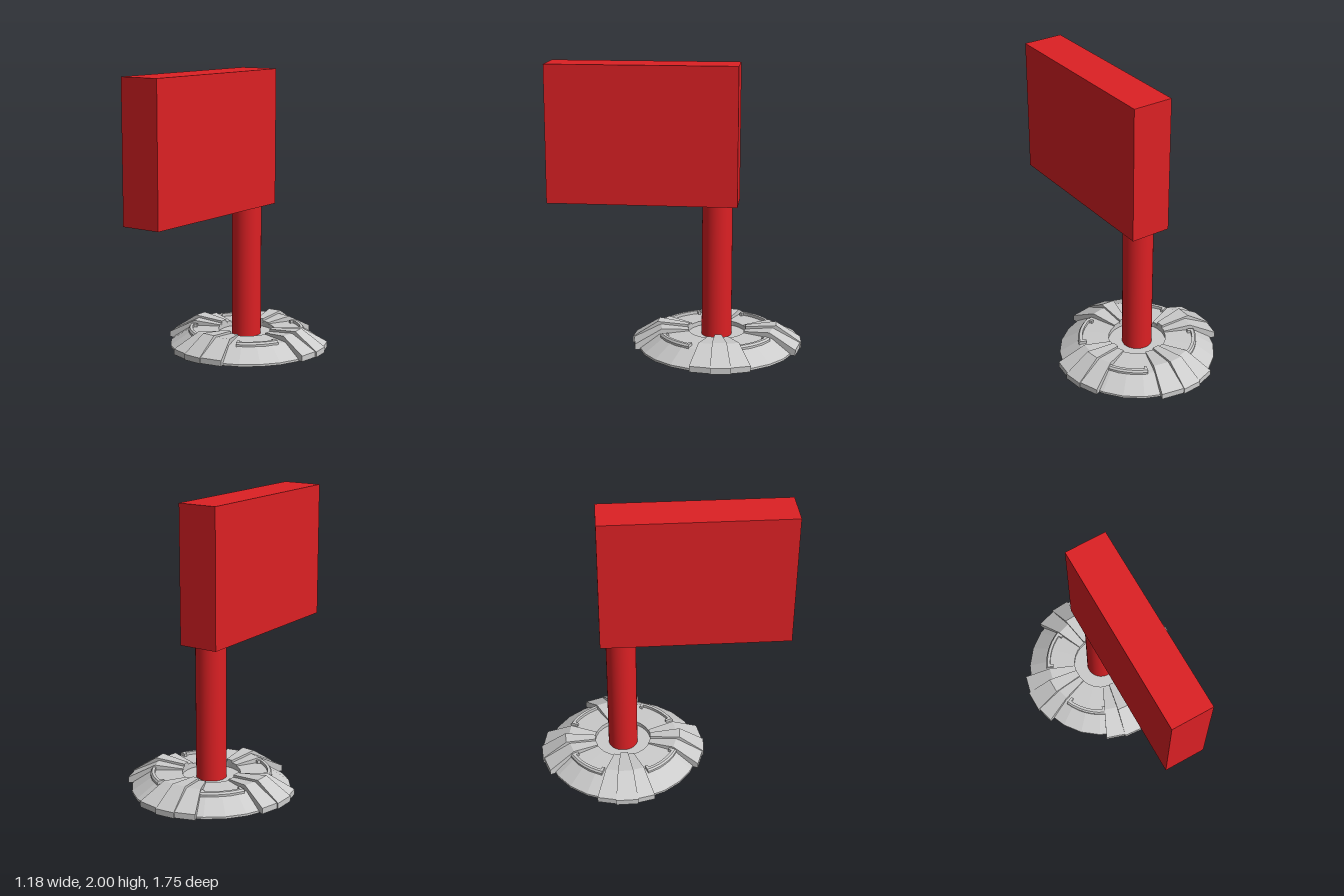
import * as THREE from 'three';

const grey = new THREE.MeshStandardMaterial({ color: 0xcccccc, flatShading: true });
const red = new THREE.MeshStandardMaterial({ color: 0xdd2024 });
const rad = THREE.MathUtils.degToRad;

// Sweeps a closed (radius, height) profile around y from angle a0 to a1 (degrees from +z towards +x)
function sector(profile, a0, a1, steps = 1) {
  const shape = new THREE.Shape(profile.map(([r, y]) => new THREE.Vector2(r, y)));
  const geo = new THREE.ExtrudeGeometry(shape, { depth: 1, steps, bevelEnabled: false });
  const pos = geo.attributes.position;
  for (let i = 0; i < pos.count; i++) {
    const r = pos.getX(i);
    const a = rad(a0 + (a1 - a0) * (1 - pos.getZ(i)));
    pos.setXYZ(i, r * Math.sin(a), pos.getY(i), r * Math.cos(a));
  }
  geo.computeVertexNormals();
  return geo;
}

function add(parent, name, geo, mat, x = 0, y = 0, z = 0) {
  const mesh = new THREE.Mesh(geo, mat);
  mesh.name = name;
  mesh.position.set(x, y, z);
  parent.add(mesh);
  return mesh;
}

function createBase() {
  const base = new THREE.Group();
  base.name = 'base';

  // Sloped disc with a recess underneath and an opening in the middle
  const disc = [[0.2, 0.09], [0.3, 0.09], [0.3, 0.005], [0.31, 0], [0.545, 0.035],
    [0.545, 0.05], [0.41, 0.14], [0.2, 0.15], [0.2, 0.09]];
  add(base, 'disc', new THREE.LatheGeometry(disc.map(([r, y]) => new THREE.Vector2(r, y)), 24), grey);

  // Sunken floor around the pole
  const floor = new THREE.RingGeometry(0.09, 0.205, 24).rotateX(-Math.PI / 2);
  add(base, 'floor', floor, grey, 0, 0.12, 0);

  // Four groups of three plates; the middle plate stands proud
  const groups = [
    [-25, -11, 2.5, 18],
    [76, 90, 103.5, 117],
    [161.5, 177.5, 191, 205],
    [250, 263, 278, 290],
  ];
  for (const angles of groups) {
    for (let i = 0; i < 3; i++) {
      const middle = i === 1;
      const outer = middle ? 0.59 : 0.58;
      const bend = middle ? 0.415 : 0.39;
      const top = middle ? 0.195 : 0.178;
      const profile = [[0.2, 0.11], [0.53, 0.04], [outer, 0.04], [outer, 0.08],
        [bend, top], [0.2, top - 0.018]];
      add(base, middle ? 'raisedPlate' : 'sidePlate', sector(profile, angles[i], angles[i + 1]), grey);
    }
  }

  // Curved ridges between the plate groups, with short hooked ends
  const ridge = [[0.385, 0.12], [0.415, 0.12], [0.415, 0.15], [0.405, 0.163], [0.385, 0.163]];
  const hook = [[0.36, 0.12], [0.386, 0.12], [0.386, 0.163], [0.36, 0.163]];
  for (const mid of [46, 134, 226, 314]) {
    add(base, 'ridge', sector(ridge, mid - 21, mid + 21, 6), grey);
    for (const a of [mid - 21, mid + 18]) add(base, 'ridgeEnd', sector(hook, a, a + 3), grey);
  }

  // Small teeth around the opening, seen from underneath
  const tooth = [[0.15, 0.08], [0.205, 0.08], [0.205, 0.118], [0.15, 0.118]];
  for (let i = 0; i < 12; i++) add(base, 'tooth', sector(tooth, i * 30 - 9, i * 30 + 9), grey);
  return base;
}

export function createModel() {
  const model = new THREE.Group();
  model.name = 'signStand';

  const base = createBase();
  base.position.set(-0.005, 0, -0.29);
  model.add(base);

  // Pole and sign board
  add(model, 'pole', new THREE.CylinderGeometry(0.104, 0.104, 0.99, 32), red, -0.005, 0.565, -0.288);
  add(model, 'board', new THREE.BoxGeometry(0.285, 0.945, 1.3), red, -0.004, 1.5275, 0.218);
  return model;
}
